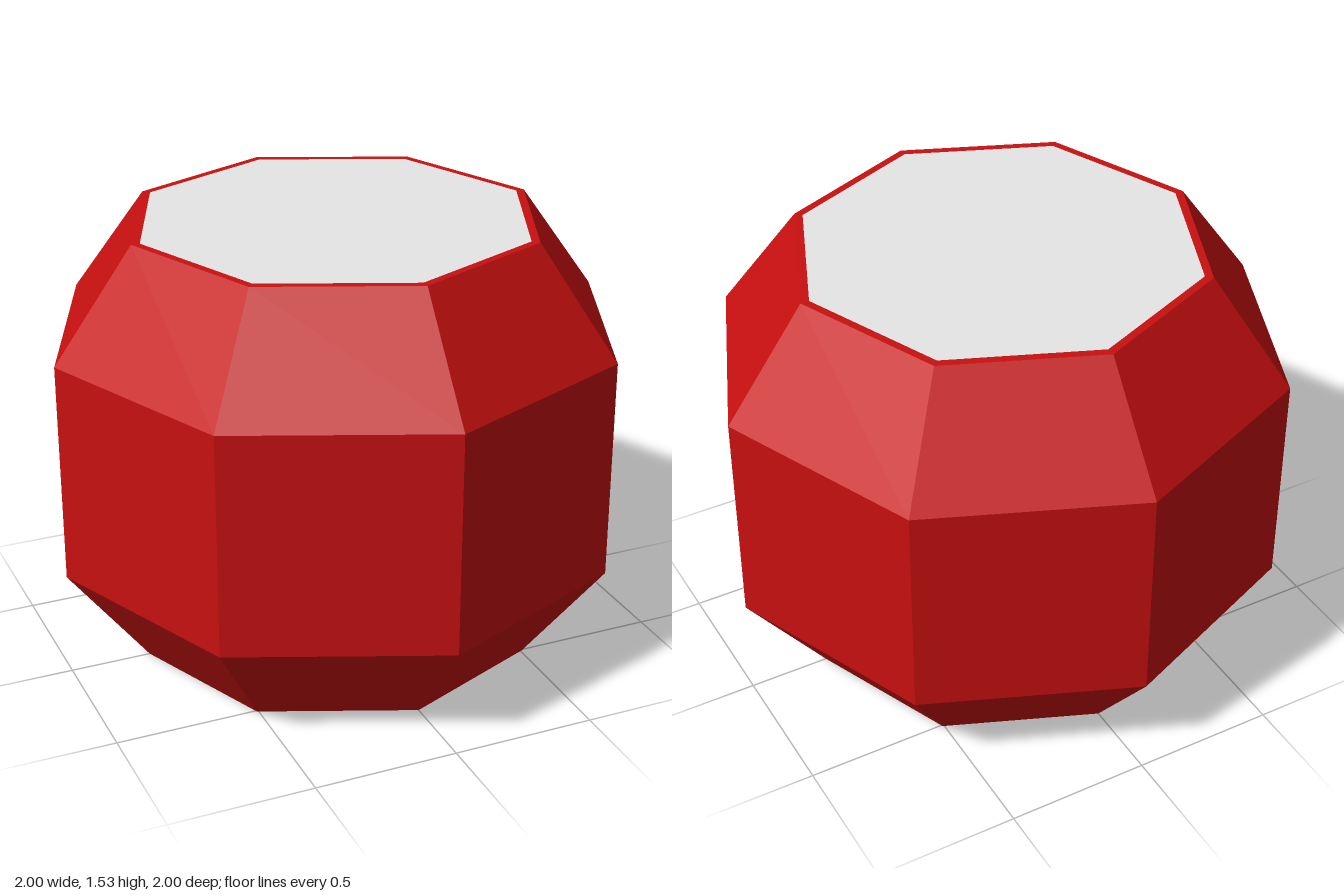
import * as THREE from 'three';

const SIDES = 8;
const HEIGHT = 1.535;
const RIM = 0.69; // radius where the rims meet the end plates

const red = new THREE.MeshStandardMaterial({ name: 'red', color: 0xc81010 });
const lightGrey = new THREE.MeshStandardMaterial({ name: 'lightGrey', color: 0xe6e6e6 });

function addPart(group, name, geometry, material) {
  // separate faces give every facet its own flat normal
  const flat = geometry.toNonIndexed();
  flat.computeVertexNormals();
  const mesh = new THREE.Mesh(flat, material);
  mesh.name = name;
  group.add(mesh);
  return mesh;
}

export function createModel() {
  const model = new THREE.Group();
  model.name = 'barrel';

  // eight-sided shell: bottom rim, lower bevel, straight wall, upper bevel, top rim
  const profile = [
    [RIM, 0], [0.715, 0], [1, 0.37], [1, 1.15], [0.72, HEIGHT], [RIM, HEIGHT],
  ].map(([r, y]) => new THREE.Vector2(r, y));
  addPart(model, 'shell', new THREE.LatheGeometry(profile, SIDES), red);

  // flush end plates
  const top = addPart(model, 'topPlate', new THREE.CircleGeometry(RIM, SIDES), lightGrey);
  top.rotation.x = -Math.PI / 2;
  top.position.y = HEIGHT;
  const bottom = addPart(model, 'bottomPlate', new THREE.CircleGeometry(RIM, SIDES), lightGrey);
  bottom.rotation.x = Math.PI / 2;

  return model;
}
